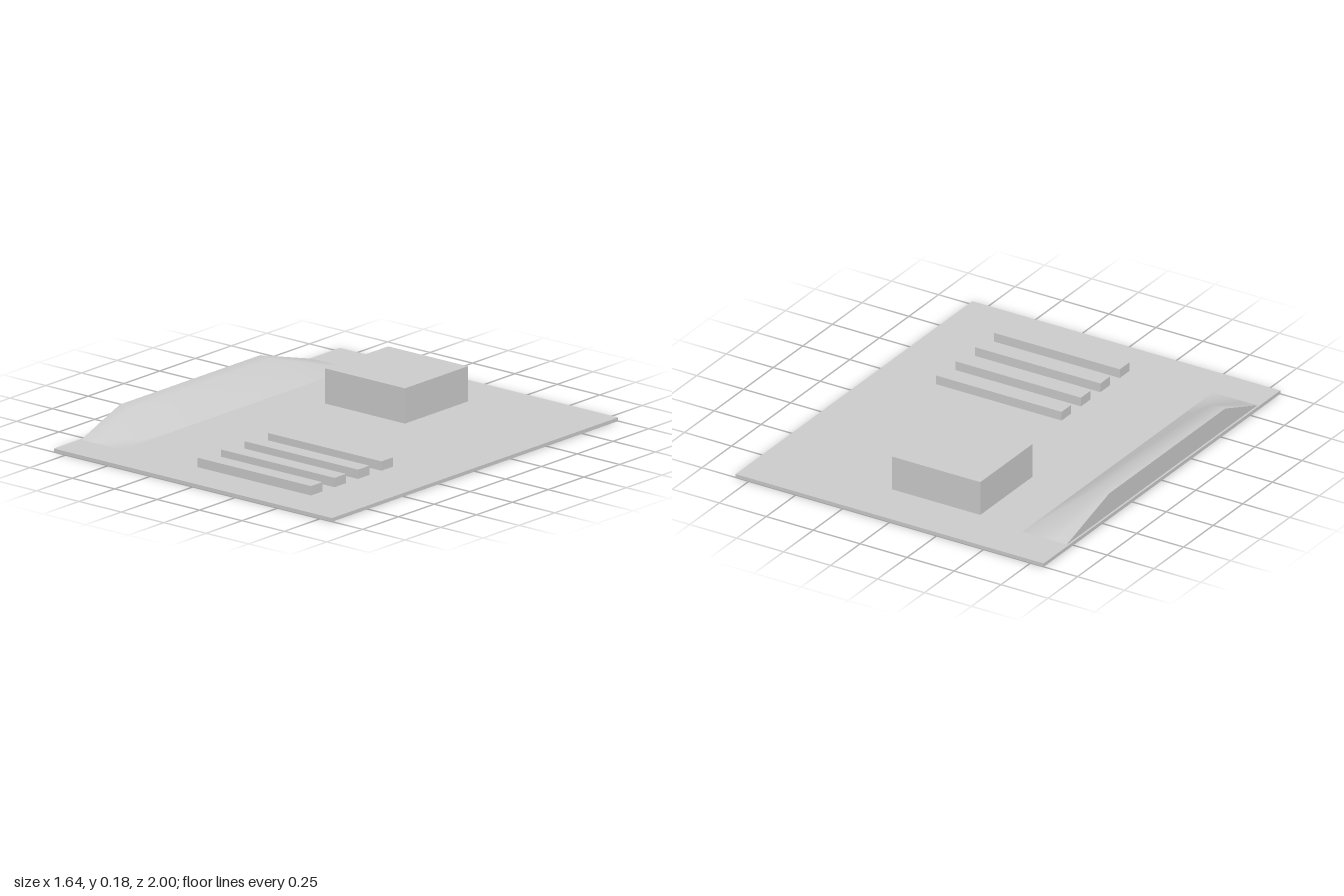
import * as THREE from 'three';

const material = new THREE.MeshStandardMaterial({ color: 0xcccccc });
const TOP = 0.017; // upper face of the board

// Box given by its extents on each axis
function block(name, x0, x1, y0, y1, z0, z1) {
  const geo = new THREE.BoxGeometry(x1 - x0, y1 - y0, z1 - z0);
  geo.translate((x0 + x1) / 2, (y0 + y1) / 2, (z0 + z1) / 2);
  const mesh = new THREE.Mesh(geo, material);
  mesh.name = name;
  return mesh;
}

// Smooth sheet through rows of points
function sheet(name, rows) {
  const n = rows[0].length;
  const index = [];
  for (let r = 0; r < rows.length - 1; r++) {
    for (let c = 0; c < n - 1; c++) {
      const a = r * n + c, b = a + 1, d = a + n, e = d + 1;
      index.push(a, d, b, b, d, e);
    }
  }
  const geo = new THREE.BufferGeometry();
  geo.setAttribute('position', new THREE.Float32BufferAttribute(rows.flat(2), 3));
  geo.setIndex(index);
  geo.computeVertexNormals();
  const mat = material.clone();
  mat.side = THREE.DoubleSide;
  const mesh = new THREE.Mesh(geo, mat);
  mesh.name = name;
  return mesh;
}

export function createModel() {
  const model = new THREE.Group();
  model.name = 'board';

  // Thin base plate and the tall block at the back
  model.add(block('basePlate', -0.82, 0.82, 0, TOP, -1, 1));
  model.add(block('tallBlock', -0.325, 0.145, TOP, 0.183, -0.75, -0.31));

  // Four parallel bars at the front
  for (let i = 0; i < 4; i++) {
    const z = 0.226 + i * 0.164;
    model.add(block('bar' + (i + 1), -0.143, 0.526, TOP, 0.061, z, z + 0.08));
  }

  // Ramp on the right edge, tapering to the plate at both ends
  const stations = [[-0.79, TOP], [-0.43, 0.12], [0.55, 0.12], [0.82, TOP]];
  const ramp = new THREE.Group();
  ramp.name = 'ramp';
  const low = TOP + 0.001;
  ramp.add(sheet('rampTop', stations.map(([z, y]) => [
    [-0.81, Math.max(y, low), z], [-0.735, Math.max(y, low), z], [-0.574, low, z],
  ])));
  ramp.add(sheet('rampWall', stations.map(([z, y]) => [
    [-0.81, TOP, z], [-0.81, Math.max(y, low), z],
  ])));
  model.add(ramp);

  return model;
}
